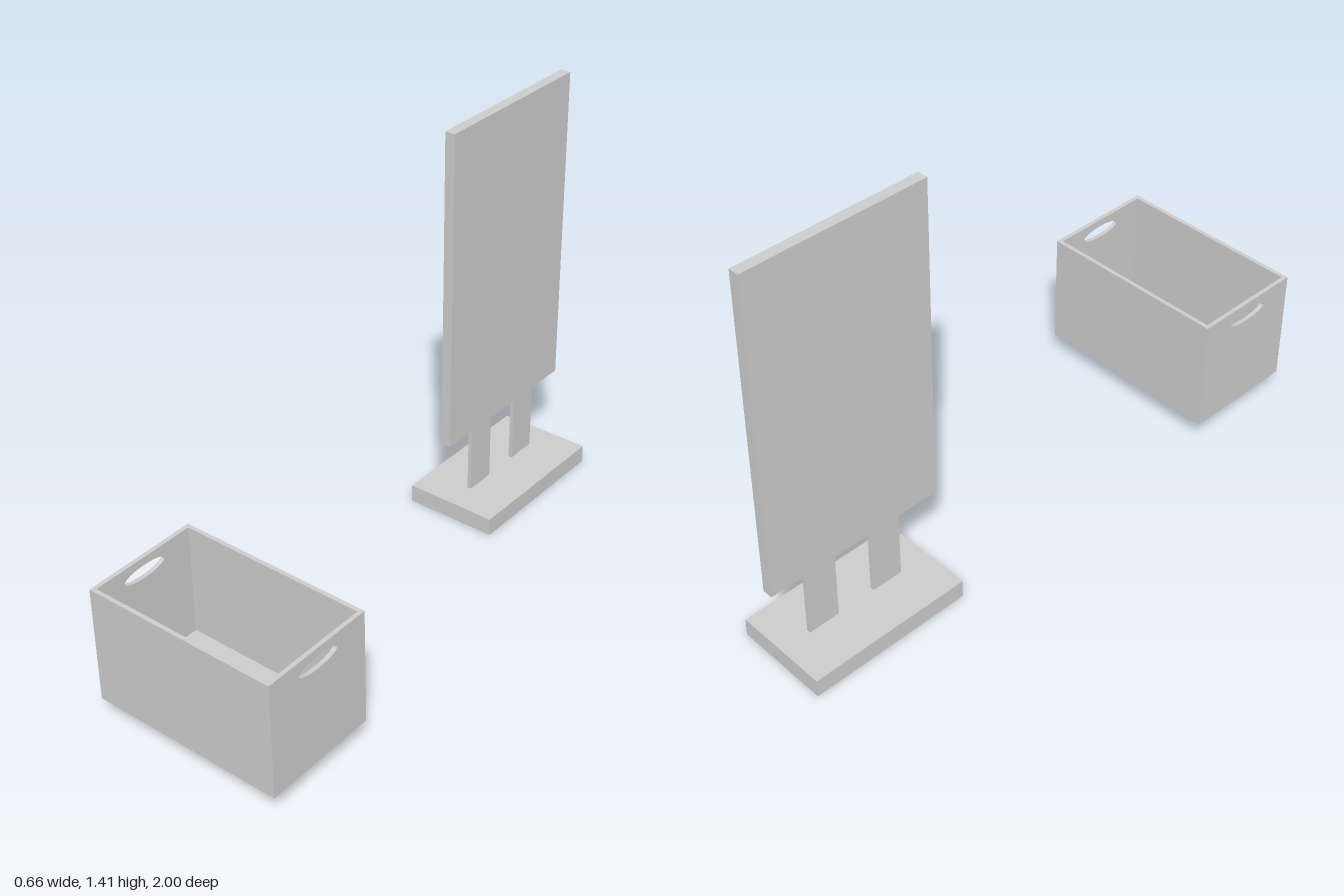
import * as THREE from 'three';

const material = new THREE.MeshStandardMaterial({ color: 0xcccccc });

// Box given by its extents along each axis
function box(name, [x0, x1], [y0, y1], [z0, z1]) {
  const mesh = new THREE.Mesh(new THREE.BoxGeometry(x1 - x0, y1 - y0, z1 - z0), material);
  mesh.position.set((x0 + x1) / 2, (y0 + y1) / 2, (z0 + z1) / 2);
  mesh.name = name;
  return mesh;
}

// Free-standing panel on two flat posts and a slab base
function createSign() {
  const sign = new THREE.Group();
  sign.name = 'signStand';
  sign.add(box('base', [-0.297, 0.027], [0, 0.062], [-0.976, -0.418]));
  for (const z of [-0.819, -0.578]) {
    sign.add(box('post', [-0.142, -0.129], [0.062, 0.306], [z - 0.054, z + 0.054]));
  }
  sign.add(box('panel', [-0.153, -0.118], [0.306, 1.408], [-1, -0.388]));
  return sign;
}

// Open crate with an oval hand hole in each end
function createCrate() {
  const crate = new THREE.Group();
  crate.name = 'crate';
  const halfX = 0.33, bottom = 0.079, top = 0.473, z0 = 0.606, z1 = 1, wall = 0.014;
  const inner = halfX - wall;

  const endShape = new THREE.Shape([
    new THREE.Vector2(z0, bottom), new THREE.Vector2(z1, bottom),
    new THREE.Vector2(z1, top), new THREE.Vector2(z0, top),
  ]);
  const handle = new THREE.Path();
  handle.absellipse((z0 + z1) / 2, 0.425, 0.079, 0.022, 0, Math.PI * 2, true);
  endShape.holes.push(handle);
  const endGeometry = new THREE.ExtrudeGeometry(endShape, {
    depth: wall, bevelEnabled: false, curveSegments: 24,
  });
  endGeometry.rotateY(-Math.PI / 2); // shape x becomes z, thickness runs towards -x

  for (const [name, x] of [['leftEnd', halfX], ['rightEnd', -inner]]) {
    const end = new THREE.Mesh(endGeometry, material);
    end.position.x = x;
    end.name = name;
    crate.add(end);
  }
  crate.add(
    box('frontWall', [-inner, inner], [bottom, top], [z1 - wall, z1]),
    box('backWall', [-inner, inner], [bottom, top], [z0, z0 + wall]),
    box('floor', [-inner, inner], [bottom, bottom + wall], [z0 + wall, z1 - wall]),
  );
  return crate;
}

export function createModel() {
  const model = new THREE.Group();
  model.name = 'signAndCrate';
  model.add(createSign(), createCrate());
  return model;
}
